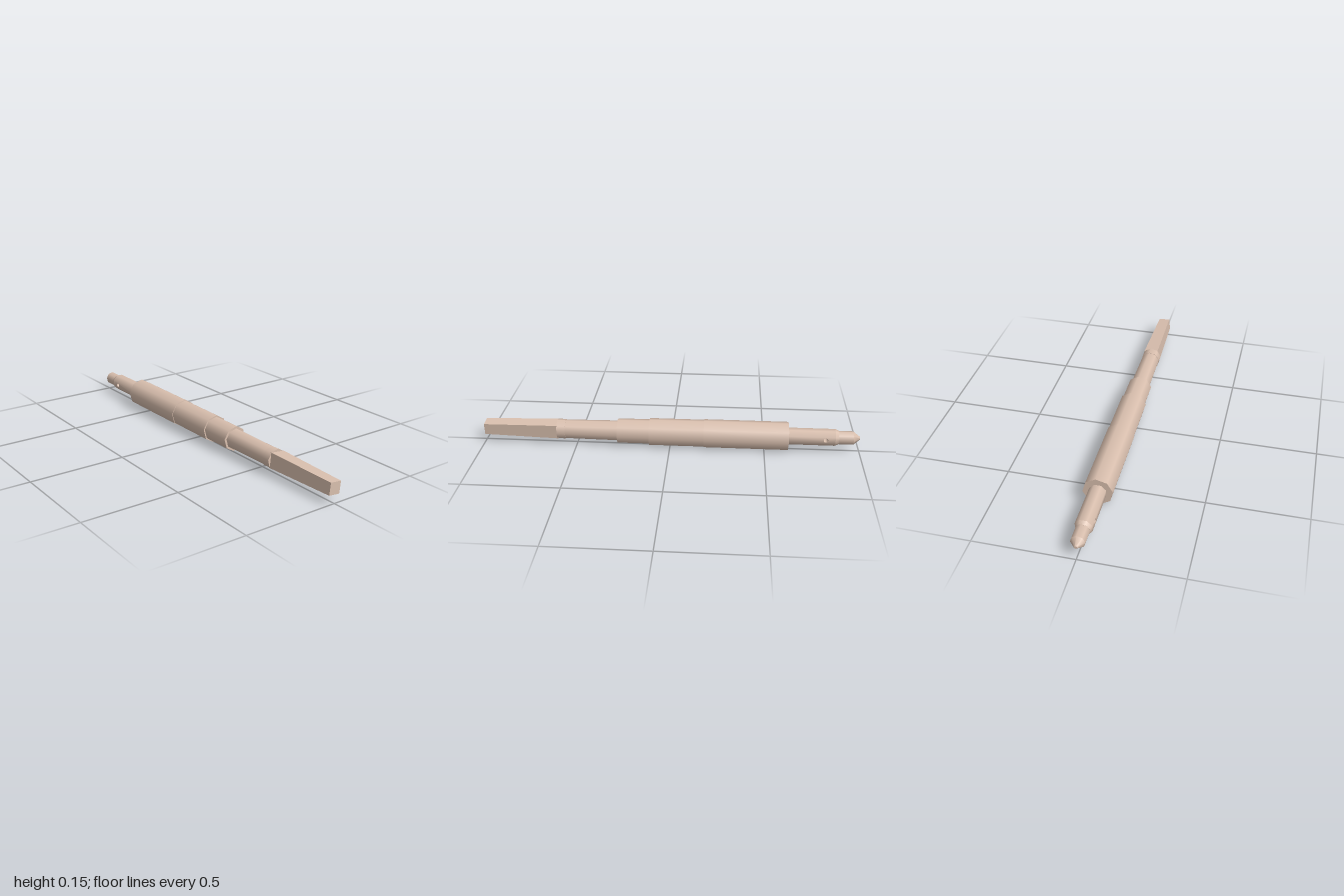
import * as THREE from 'three';
import { mergeGeometries } from 'three/addons/utils/BufferGeometryUtils.js';

const DEG = Math.PI / 180;
const AXIS_Y = 0.0755;

export function createModel() {
  const group = new THREE.Group();
  const smooth = new THREE.MeshStandardMaterial({ color: 0xd9bfae });
  const flat = new THREE.MeshStandardMaterial({ color: 0xd9bfae, flatShading: true });
  const thin = new THREE.MeshStandardMaterial({ color: 0xd9bfae, side: THREE.DoubleSide });

  function add(name, geometry, material) {
    const mesh = new THREE.Mesh(geometry, material);
    mesh.name = name;
    mesh.position.y = AXIS_Y;
    group.add(mesh);
  }

  // Prism or frustum along z, between a front and a back station
  function section(name, zFront, rFront, zBack, rBack, sides = 8, turn = -7.5, open = false, material = smooth) {
    const g = new THREE.CylinderGeometry(rFront, rBack, zFront - zBack, sides, 1, open, turn * DEG);
    g.rotateX(Math.PI / 2);
    g.translate(0, 0, (zFront + zBack) / 2);
    add(name, g, material);
  }

  // Tapered square drive at the front
  section('squareTaper', 1, 0.031 * Math.SQRT2, 0.6, 0.039 * Math.SQRT2, 4, 39, false, flat);

  // Stepped octagonal shaft
  section('frontCollar', 0.605, 0.054, 0.56, 0.053);
  section('frontNeck', 0.56, 0.051, 0.28, 0.054);
  section('frontStep', 0.28, 0.066, 0.11, 0.066);
  section('middleStep', 0.11, 0.073, -0.18, 0.073);
  section('mainBarrel', -0.18, 0.076, -0.625, 0.076);

  // Rear shank: eight panels, the two side ones pierced by a cross hole
  const R = 0.0445, zA = -0.62, zB = -0.87, zHole = -0.82, holeR = 0.012;
  const half = R * Math.sin(22.5 * DEG), apothem = R * Math.cos(22.5 * DEG);
  const panels = [];
  for (let i = 0; i < 8; i++) {
    const shape = new THREE.Shape([
      new THREE.Vector2(zB, -half), new THREE.Vector2(zA, -half),
      new THREE.Vector2(zA, half), new THREE.Vector2(zB, half),
    ]);
    if (i % 4 === 0) shape.holes.push(new THREE.Path().absarc(zHole, 0, holeR, 0, Math.PI * 2, true));
    const g = new THREE.ShapeGeometry(shape, 8);
    // Shape x runs along z, and its face turns outward to +x
    g.rotateX(Math.PI);
    g.rotateY(-Math.PI / 2);
    g.rotateX(0);
    g.rotateY(Math.PI);
    const p = g.attributes.position;
    for (let k = 0; k < p.count; k++) {
      p.setXYZ(k, apothem, p.getY(k), -Math.abs(p.getZ(k)));
    }
    g.rotateZ(i * 45 * DEG);
    // Radial normals keep the shank smooth round its girth
    for (let k = 0; k < p.count; k++) {
      const n = new THREE.Vector3(p.getX(k), p.getY(k), 0).normalize();
      g.attributes.normal.setXYZ(k, n.x, n.y, 0);
    }
    // Wind every triangle outward
    const idx = g.index;
    const a = new THREE.Vector3(), b = new THREE.Vector3(), c = new THREE.Vector3();
    for (let k = 0; k < idx.count; k += 3) {
      a.fromBufferAttribute(p, idx.getX(k));
      b.fromBufferAttribute(p, idx.getX(k + 1));
      c.fromBufferAttribute(p, idx.getX(k + 2));
      const face = b.clone().sub(a).cross(c.clone().sub(a));
      if (face.x * a.x + face.y * a.y < 0) {
        const t = idx.getX(k + 1);
        idx.setX(k + 1, idx.getX(k + 2));
        idx.setX(k + 2, t);
      }
    }
    panels.push(g);
  }
  add('rearShank', mergeGeometries(panels), smooth);

  // Lining of the cross hole
  const lining = new THREE.CylinderGeometry(holeR, holeR, apothem * 2, 16, 1, true);
  lining.rotateZ(Math.PI / 2);
  lining.translate(0, 0, zHole);
  add('crossHole', lining, thin);

  // Shoulder, neck and pointed end
  section('rearShoulder', -0.87, R, -0.89, 0.036, 8, 22.5);
  section('rearNeck', -0.885, 0.036, -0.965, 0.036);
  section('rearPoint', -0.965, 0.036, -1, 0.008);

  return group;
}
